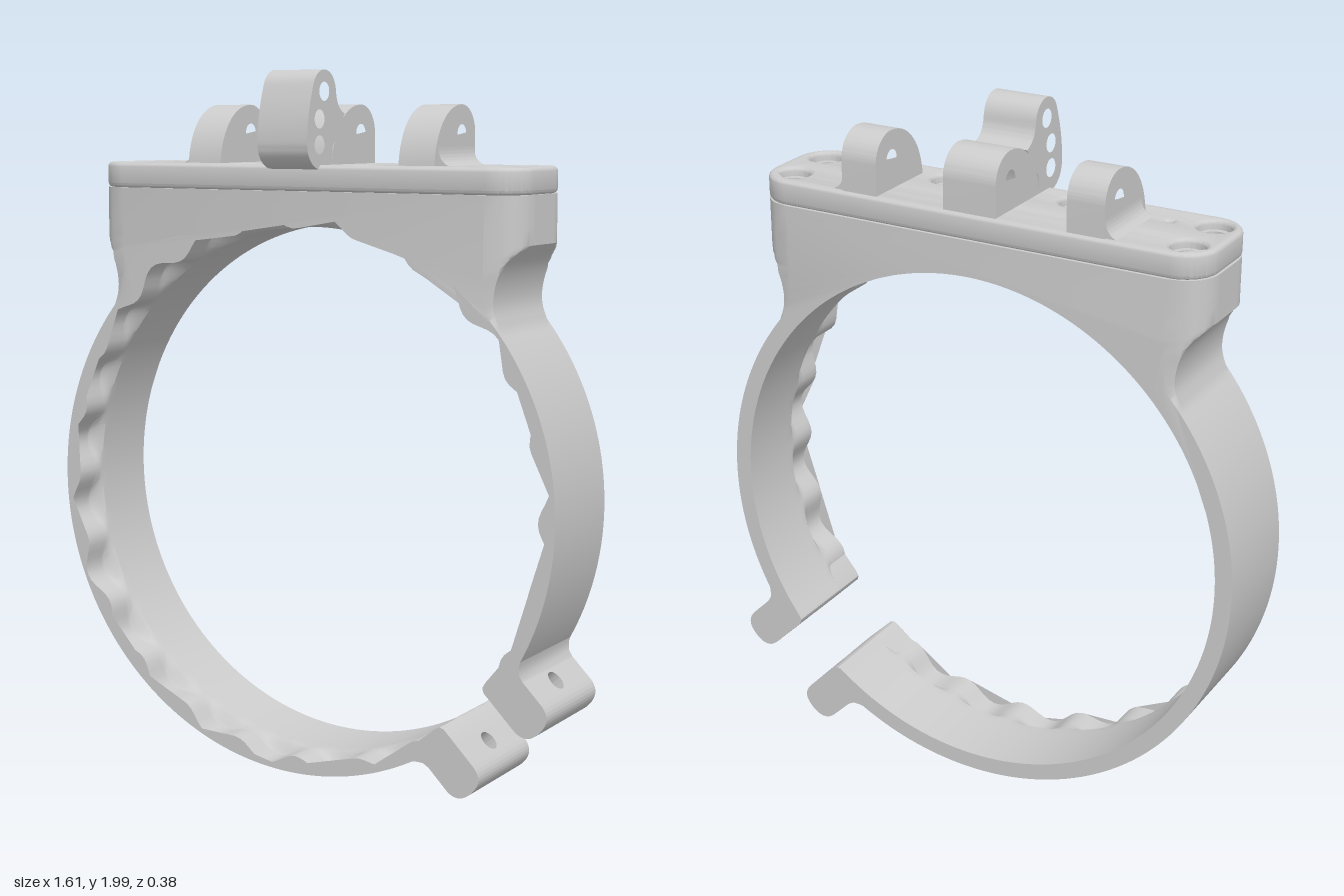
import * as THREE from 'three';
import { toCreasedNormals } from 'three/addons/utils/BufferGeometryUtils.js';

const CY = 0.81, RO = 0.805, RI = 0.755;   // ring centre height and radii
const ZB = -0.19, ZF = 0.13, DEPTH = ZF - ZB;
const mat = new THREE.MeshStandardMaterial({ color: 0xcccccc });

function part(parent, name, geo, crease = 0.6) {
  const mesh = new THREE.Mesh(toCreasedNormals(geo, crease), mat);
  mesh.name = name;
  parent.add(mesh);
  return mesh;
}

const circle = (x, y, r, n = 24) => {
  const path = new THREE.Path();
  path.absarc(x, y, r, 0, Math.PI * 2, true);
  return new THREE.Path(path.getPoints(n));
};

function roundedRect(x0, y0, x1, y1, r) {
  const s = new THREE.Shape();
  s.absarc(x1 - r, y1 - r, r, 0, Math.PI / 2);
  s.absarc(x0 + r, y1 - r, r, Math.PI / 2, Math.PI);
  s.absarc(x0 + r, y0 + r, r, Math.PI, Math.PI * 1.5);
  s.absarc(x1 - r, y0 + r, r, Math.PI * 1.5, Math.PI * 2);
  return s;
}

const extrude = (shape, depth, extra = {}) =>
  new THREE.ExtrudeGeometry(shape, { depth, bevelEnabled: false, curveSegments: 16, ...extra });

// Profile in (z, y), extruded across x from x0 to x1
function sideExtrude(draw, holes, x0, x1) {
  const pts = draw.getPoints(14).map(p => new THREE.Vector2(-p.x, p.y));
  const shape = new THREE.Shape(pts);
  shape.holes = holes.map(([z, y]) => circle(-z, y, 0.026));
  return extrude(shape, x1 - x0).rotateY(Math.PI / 2).translate(x0, 0, 0);
}

// Open ring and its shoulders as one outline; the front of the bore is fluted
function bandGeometry() {
  const pts = [];
  const arc = (r, a, b, n) => {
    for (let i = 0; i <= n; i++) {
      const t = a + (b - a) * i / n;
      pts.push(new THREE.Vector2(Math.cos(t) * r, CY + Math.sin(t) * r));
    }
  };
  const start = -Math.PI / 4 + 0.13, end = Math.PI * 1.75 - 0.13, join = 0.67;
  const neck = new THREE.CatmullRomCurve3([[0.631, 1.31], [0.612, 1.37], [0.617, 1.43],
    [0.642, 1.49], [0.685, 1.535]].map(p => new THREE.Vector3(...p, 0))).getPoints(16).slice(1);
  const shoulder = [...neck.map(p => [p.x, p.y]), [0.685, 1.58], [0.685, 1.668]];
  arc(RO, start, join, 60);
  shoulder.forEach(([x, y]) => pts.push(new THREE.Vector2(x, y)));
  shoulder.reverse().forEach(([x, y]) => pts.push(new THREE.Vector2(-x, y)));
  arc(RO, Math.PI - join, end, 130);
  arc(RI, end, start, 240);

  const geo = extrude(new THREE.Shape(pts), DEPTH, { steps: 32 }).translate(0, 0, ZB);
  const p = geo.attributes.position;
  for (let i = 0; i < p.count; i++) {
    const x = p.getX(i), y = p.getY(i), z = p.getZ(i), r = Math.hypot(x, y - CY);
    if (Math.abs(r - RI) < 1e-3) {
      // flutes, deepest between the crests
      const a = Math.atan2(x, y - CY);
      const k = THREE.MathUtils.smoothstep(z, 0.02, 0.05);
      const s = (RI + k * 0.02 * (1 - Math.cos(24 * a))) / r;
      p.setXY(i, x * s, CY + (y - CY) * s);
    } else if (y > 1.31 && r > RO + 0.001) {
      // rounded vertical corners of the shoulders
      const e = Math.max(0, 0.1 - Math.min(ZF - z, z - ZB));
      const limit = 0.585 + Math.sqrt(Math.max(0, 0.01 - e * e));
      const ringX = Math.sqrt(Math.max(0, RO * RO - (y - CY) ** 2));
      p.setX(i, Math.sign(x) * Math.max(Math.min(Math.abs(x), limit), Math.min(ringX, Math.abs(x))));
    }
  }
  return geo;
}

// One clamp lug beside the gap; s = 1 below it, -1 above it
function addLug(parent, s, name) {
  const lug = new THREE.Group();
  lug.name = name;
  parent.add(lug);
  const q = Math.SQRT1_2, Z = new THREE.Vector3(0, 0, 1);
  const d = new THREE.Vector3(q, -q, 0), t = new THREE.Vector3(-q, -q, 0);
  const alongZ = new THREE.Matrix4().makeBasis(d, t, Z.clone().negate()).setPosition(0, CY, ZF);
  const alongT = new THREE.Matrix4().makeBasis(d, Z, t).setPosition(0, CY, 0);
  const a = 0.085, b = 0.2, u0 = 0.815, u1 = 0.89;

  // root blended into the ring
  const root = [[0.765, a], [u0, a], [u0, b], [0.795, 0.205], [0.777, 0.222], [0.763, 0.245],
    [0.742, 0.275], [0.735, 0.23], [0.742, 0.17], [0.748, 0.11], [0.753, 0.092]];
  part(lug, 'lugRoot', extrude(new THREE.Shape(root.map(([u, v]) => new THREE.Vector2(u, v * s))),
    DEPTH).applyMatrix4(alongZ));

  // drilled middle
  const mid = new THREE.Shape([[u0, ZB], [u1, ZB], [u1, ZF], [u0, ZF]].map(c => new THREE.Vector2(...c)));
  mid.holes.push(circle(0.852, -0.025, 0.028));
  part(lug, 'lugScrewHole', extrude(mid, b - a).translate(0, 0, s > 0 ? a : -b).applyMatrix4(alongT));

  // rounded tip
  const tip = new THREE.Shape();
  tip.moveTo(u1, a * s);
  tip.quadraticCurveTo(0.945, a * s, 0.945, (a + 0.055) * s);
  tip.quadraticCurveTo(0.945, b * s, u1, b * s);
  part(lug, 'lugTip', extrude(tip, DEPTH).applyMatrix4(alongZ));
}

// Rounded hinge ear, seen from the side
function earProfile() {
  const s = new THREE.Shape();
  s.moveTo(0.06, 1.73);
  s.bezierCurveTo(0.055, 1.83, -0.01, 1.905, -0.1, 1.905);
  s.absarc(-0.1, 1.825, 0.08, Math.PI / 2, Math.PI);
  s.lineTo(-0.18, 1.73);
  return s;
}

export function createModel() {
  const model = new THREE.Group();
  model.name = 'ringClamp';

  part(model, 'ringBand', bandGeometry());
  addLug(model, 1, 'lowerLug');
  addLug(model, -1, 'upperLug');

  // Top plate with counterbored screw holes and small pin holes
  const bev = 0.012;
  const screws = [[0.605, -0.115], [0.605, 0.05], [0.2, 0.05]].flatMap(([x, z]) => [[x, z], [-x, z]]);
  const plate = roundedRect(-0.685 + bev, -ZF + bev, 0.685 - bev, -ZB - bev, 0.1 - bev);
  screws.forEach(([x, z]) => plate.holes.push(circle(x, -z, 0.06)));
  [-0.485, 0.485].forEach(x => plate.holes.push(circle(x, -0.03, 0.022, 16)));
  part(model, 'topPlate', extrude(plate, 0.072 - 2 * bev, {
    bevelEnabled: true, bevelSize: bev, bevelThickness: bev, bevelSegments: 3,
  }).rotateX(-Math.PI / 2).translate(0, 1.668 + bev, 0));

  // Screw heads with sockets
  const head = [[0.046, 1.665], [0.046, 1.715], [0.03, 1.715], [0.03, 1.69], [0, 1.69]]
    .map(c => new THREE.Vector2(...c));
  screws.forEach(([x, z]) =>
    part(model, 'screwHead', new THREE.LatheGeometry(head, 24).translate(x, 0, z)));

  // Outer ears with a fillet on their outer foot
  for (const s of [-1, 1]) {
    const x0 = s > 0 ? 0.29 : -0.4;
    part(model, 'hingeEar', sideExtrude(earProfile(), [[-0.1, 1.825]], x0, x0 + 0.11));
    const foot = new THREE.Shape();
    foot.moveTo(s * 0.395, 1.735);
    foot.lineTo(s * 0.45, 1.735);
    foot.quadraticCurveTo(s * 0.4, 1.742, s * 0.4, 1.79);
    foot.lineTo(s * 0.395, 1.79);
    part(model, 'earFillet', extrude(foot, 0.21).translate(0, 0, -0.175));
  }

  // Centre ear and the lever standing in front of it
  part(model, 'centreEar', sideExtrude(earProfile(), [[-0.1, 1.825]], -0.08, 0.08));
  const lever = new THREE.Shape();
  lever.moveTo(0.1, 1.725);
  lever.bezierCurveTo(0.15, 1.725, 0.19, 1.75, 0.19, 1.8);
  lever.bezierCurveTo(0.19, 1.86, 0.175, 1.91, 0.158, 1.955);
  lever.bezierCurveTo(0.14, 2.015, 0.05, 2.015, 0.038, 1.945);
  lever.bezierCurveTo(0.035, 1.91, 0.02, 1.89, -0.01, 1.88);
  lever.lineTo(0.055, 1.79);
  lever.lineTo(0.06, 1.735);
  part(model, 'lever', sideExtrude(lever, [[0.1, 1.94], [0.125, 1.865], [0.125, 1.795]], -0.08, 0.08));

  return model;
}
